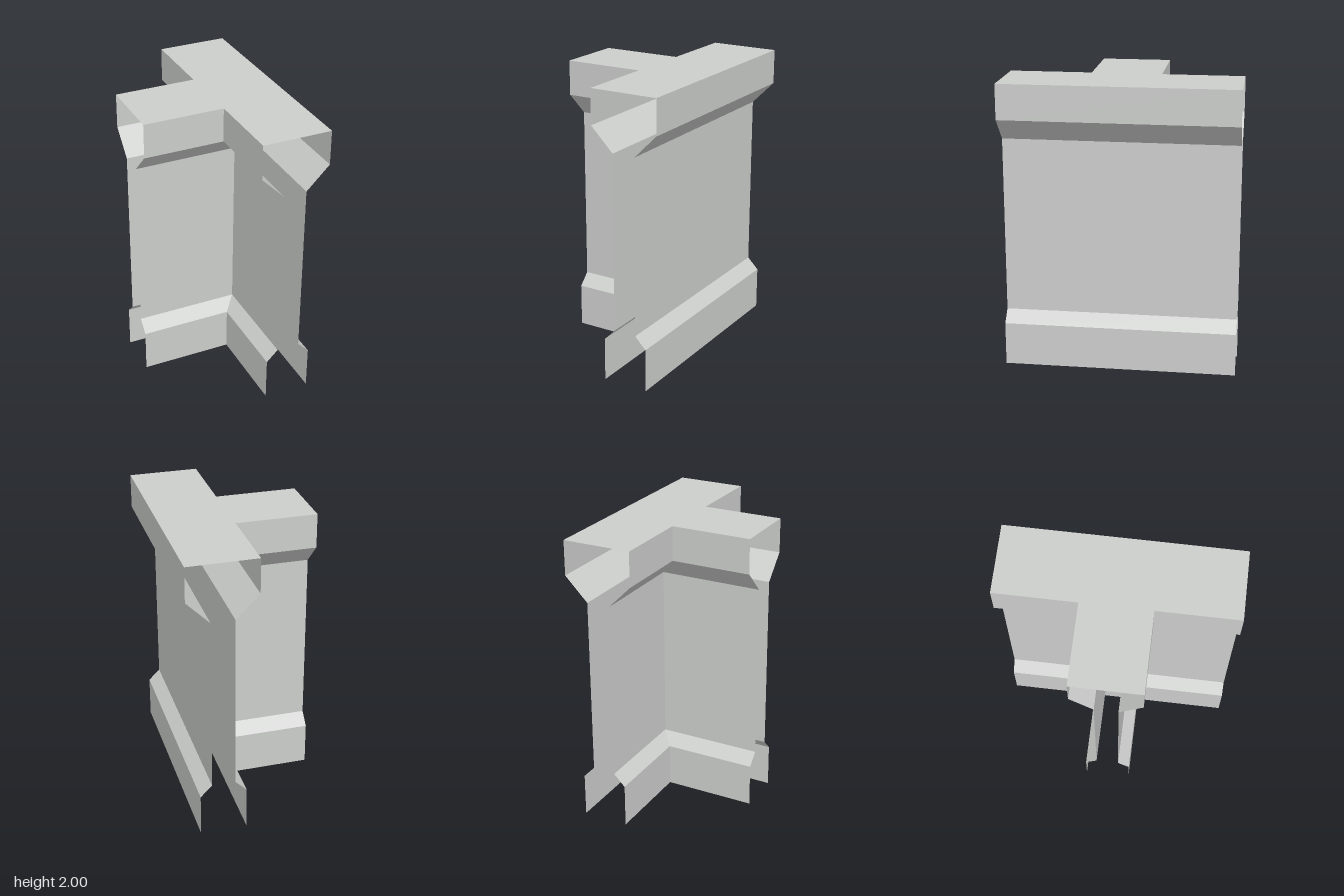
import * as THREE from 'three';

// Wall cross-section: [half thickness, height], from base to coping
const PROFILE = [[0.16, 0], [0.16, 0.3], [0.08, 0.38], [0.08, 1.6], [0.24, 1.76], [0.24, 2]];
const BAR_X = 0.28;      // centre line of the long wall
const BAR_END = 0.8;     // half length of the long wall
const STEM_END = -0.52;  // free end of the branch wall
const CAP = 0.24;        // half width of the coping

// Joins two matching profiles; start is on the left when seen from outside
function wallSide(name, start, end, material) {
  const pos = [];
  for (let i = 0; i < PROFILE.length - 1; i++) {
    const a = start(...PROFILE[i]), b = end(...PROFILE[i]);
    const c = end(...PROFILE[i + 1]), d = start(...PROFILE[i + 1]);
    pos.push(...a, ...b, ...c, ...a, ...c, ...d);
  }
  const geometry = new THREE.BufferGeometry();
  geometry.setAttribute('position', new THREE.Float32BufferAttribute(pos, 3));
  geometry.computeVertexNormals();
  const mesh = new THREE.Mesh(geometry, material);
  mesh.name = name;
  return mesh;
}

export function createModel() {
  const model = new THREE.Group();
  model.name = 'wallJunction';
  const stone = new THREE.MeshStandardMaterial({ color: 0xcccecc, side: THREE.DoubleSide });
  stone.name = 'pale grey';

  // Long wall, open at both ends and underneath
  for (const s of [1, -1]) {
    model.add(wallSide(s > 0 ? 'longWallLeftSide' : 'longWallRightSide',
      (w, y) => [BAR_X + s * w, y, s * BAR_END],
      (w, y) => [BAR_X + s * w, y, -s * BAR_END], stone));
  }

  // Branch wall, mitred into the inner side of the long wall
  const free = (s) => (w, y) => [STEM_END, y, s * w];
  const joint = (s) => (w, y) => [BAR_X - w, y, s * w];
  model.add(wallSide('branchWallFront', free(1), joint(1), stone));
  model.add(wallSide('branchWallBack', joint(-1), free(-1), stone));

  // T-shaped flat top
  const outline = [
    [STEM_END, -CAP], [BAR_X - CAP, -CAP], [BAR_X - CAP, -BAR_END], [BAR_X + CAP, -BAR_END],
    [BAR_X + CAP, BAR_END], [BAR_X - CAP, BAR_END], [BAR_X - CAP, CAP], [STEM_END, CAP],
  ].map(([x, z]) => new THREE.Vector2(x, z));
  const top = new THREE.Mesh(
    new THREE.ShapeGeometry(new THREE.Shape(outline)).rotateX(-Math.PI / 2).translate(0, 2, 0), stone);
  top.name = 'copingTop';
  model.add(top);

  return model;
}
